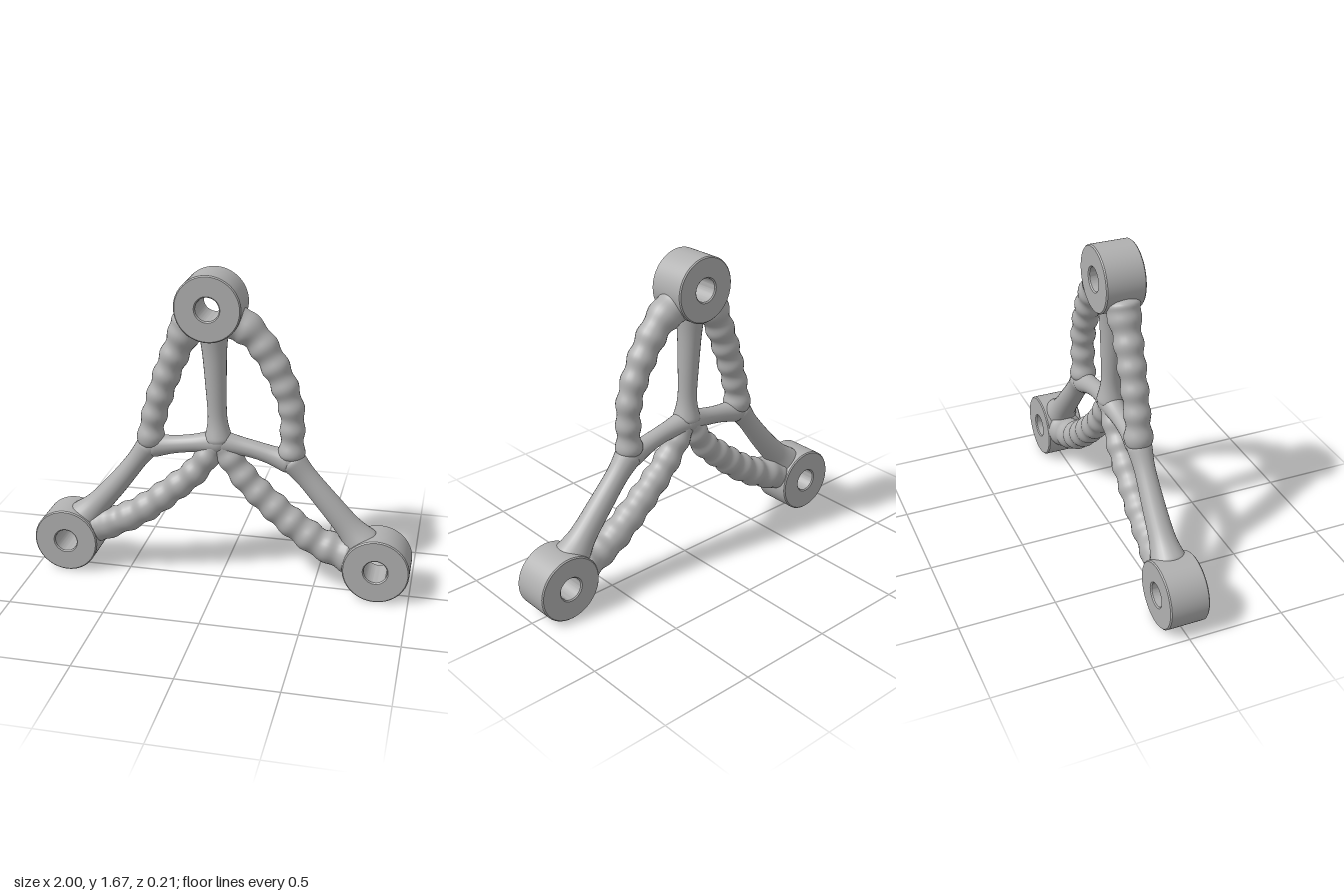
import * as THREE from 'three';
import { toCreasedNormals } from 'three/addons/utils/BufferGeometryUtils.js';

const metal = new THREE.MeshStandardMaterial({ color: 0xb0b0b0 });
metal.name = 'grey metal';

// Round-ended limb in the xy plane: radius runs from r0 to r1, flares at both
// ends like a fillet, and may swell in regular beads.
function limbGeometry(points, { r0, r1, flare0 = 0.02, flare1 = 0.02, bead = 0 }) {
  const curve = new THREE.CatmullRomCurve3(points.map(([x, y]) => new THREE.Vector3(x, y, 0)));
  const length = curve.getLength();
  const rows = Math.max(40, Math.round(length * 130));
  const sides = 24;
  const dome = 0.05;
  const position = [];
  const index = [];
  for (let i = 0; i <= rows; i++) {
    const u = i / rows;
    const c = curve.getPointAt(u);
    const t = curve.getTangentAt(u);
    const d0 = u * length;
    const d1 = length - d0;
    let r = r0 + (r1 - r0) * u;
    r += flare0 * Math.exp(-((d0 / 0.1) ** 2)) + flare1 * Math.exp(-((d1 / 0.1) ** 2));
    r += bead * Math.cos((2 * Math.PI * d0) / 0.115);
    r = Math.min(r, 0.1);
    const d = Math.min(d0, d1);
    if (d < dome) r *= Math.sqrt(Math.max(0, 1 - ((dome - d) / dome) ** 2));
    for (let j = 0; j < sides; j++) {
      const a = (j / sides) * Math.PI * 2;
      const n = r * Math.cos(a);
      position.push(c.x - t.y * n, c.y + t.x * n, r * Math.sin(a));
      if (i < rows) {
        const p = i * sides + j;
        const q = i * sides + ((j + 1) % sides);
        index.push(p, q, p + sides, q, q + sides, p + sides);
      }
    }
  }
  const g = new THREE.BufferGeometry();
  g.setAttribute('position', new THREE.Float32BufferAttribute(position, 3));
  g.setIndex(index);
  g.computeVertexNormals();
  return g;
}

// Thick ring with a through hole and a slight edge bevel
function bossGeometry(radius) {
  const bevel = 0.006;
  const depth = 0.206;
  const shape = new THREE.Shape().absarc(0, 0, radius - bevel, 0, Math.PI * 2, false);
  shape.holes.push(new THREE.Path().absarc(0, 0, 0.06 + bevel, 0, Math.PI * 2, true));
  const g = new THREE.ExtrudeGeometry(shape, {
    depth: depth - 2 * bevel, bevelEnabled: true, bevelSize: bevel,
    bevelThickness: bevel, bevelSegments: 1, curveSegments: 40,
  });
  g.translate(0, 0, -depth / 2 + bevel);
  return toCreasedNormals(g, 0.6);
}

export function createModel() {
  const group = new THREE.Group();
  const add = (name, geometry, x = 0, y = 0) => {
    const mesh = new THREE.Mesh(geometry, metal);
    mesh.name = name;
    mesh.position.set(x, y, 0);
    group.add(mesh);
  };
  const limb = (name, points, options) => add(name, limbGeometry(points, options));

  // Bolt bosses
  add('topBoss', bossGeometry(0.169), -0.047, 1.503);
  add('rightBoss', bossGeometry(0.172), -0.828, 0.174);
  add('leftBoss', bossGeometry(0.172), 0.828, 0.174);

  // Joints
  add('hub', new THREE.SphereGeometry(0.068, 24, 16), -0.012, 0.785);
  add('rightJoint', new THREE.SphereGeometry(0.062, 24, 16), -0.365, 0.735);
  add('leftJoint', new THREE.SphereGeometry(0.062, 24, 16), 0.365, 0.72);

  // Upright post
  limb('post', [[-0.01, 0.76], [-0.02, 1.0], [-0.037, 1.4]],
    { r0: 0.04, r1: 0.067, flare0: 0.035, flare1: 0.01 });

  // Beaded arches from the top boss to the side joints
  limb('rightArch',
    [[-0.15, 1.44], [-0.185, 1.35], [-0.25, 1.2], [-0.32, 1.0], [-0.365, 0.82], [-0.37, 0.71]],
    { r0: 0.076, r1: 0.06, flare1: 0.012, bead: 0.005 });
  limb('leftArch',
    [[0.04, 1.44], [0.16, 1.37], [0.28, 1.2], [0.36, 1.0], [0.37, 0.82], [0.365, 0.7]],
    { r0: 0.078, r1: 0.055, flare1: 0.012, bead: 0.005 });

  // Cross arms between hub and side joints
  limb('rightArm', [[0.01, 0.785], [-0.18, 0.755], [-0.39, 0.725]], { r0: 0.045, r1: 0.045 });
  limb('leftArm', [[-0.03, 0.785], [0.17, 0.755], [0.39, 0.695]], { r0: 0.045, r1: 0.045 });

  // Straight outer struts
  limb('rightStrut', [[-0.36, 0.76], [-0.56, 0.495], [-0.77, 0.255]],
    { r0: 0.045, r1: 0.07, flare1: 0.03 });
  limb('leftStrut', [[0.35, 0.74], [0.55, 0.51], [0.77, 0.255]],
    { r0: 0.05, r1: 0.07, flare1: 0.03 });

  // Beaded lower arches from the hub to the side bosses
  limb('rightLowerArch',
    [[-0.01, 0.79], [-0.13, 0.61], [-0.265, 0.485], [-0.4, 0.375], [-0.53, 0.295], [-0.71, 0.23]],
    { r0: 0.062, r1: 0.082, flare0: 0, flare1: 0.02, bead: 0.005 });
  limb('leftLowerArch',
    [[-0.01, 0.79], [0.135, 0.585], [0.275, 0.45], [0.415, 0.335], [0.54, 0.255], [0.71, 0.205]],
    { r0: 0.062, r1: 0.082, flare0: 0, flare1: 0.02, bead: 0.005 });

  return group;
}
